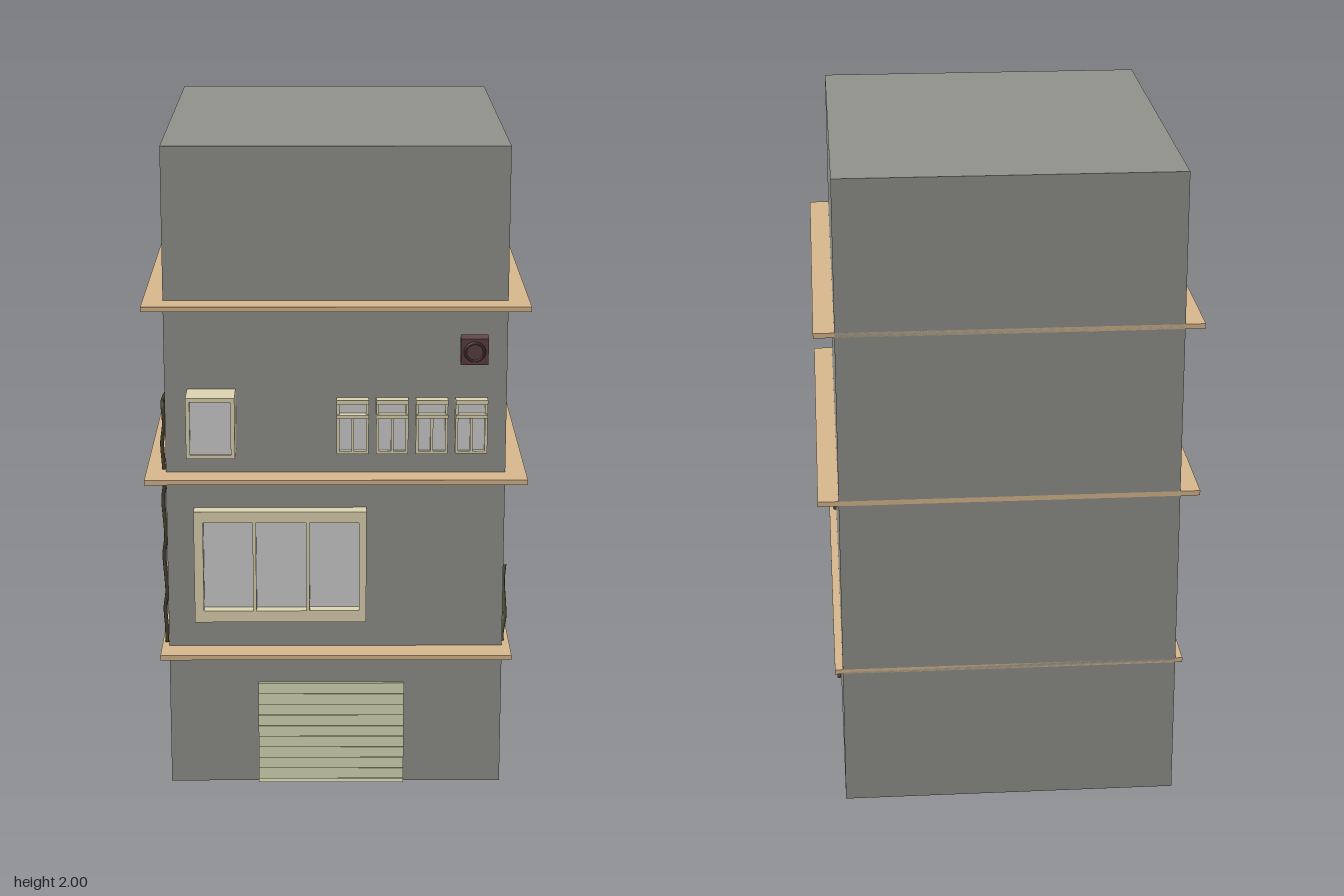
import * as THREE from 'three';

const mat = (color) => new THREE.MeshStandardMaterial({ color });
const wallMat = mat(0x8f908a), ledgeMat = mat(0xd6b68c), frameMat = mat(0xdcd3af);
const glassMat = mat(0xcccccc), slatMat = mat(0xc9cdaa), fanMat = mat(0x634548);
const darkMat = mat(0x3c2a2c), greenPipeMat = mat(0x55583f), brownPipeMat = mat(0x48402f);

const FRONT = 0.585, BACK = -0.69;

// Box given by its limits on each axis
function box(parent, name, material, [x0, x1], [y0, y1], [z0, z1]) {
  const m = new THREE.Mesh(new THREE.BoxGeometry(x1 - x0, y1 - y0, z1 - z0), material);
  m.position.set((x0 + x1) / 2, (y0 + y1) / 2, (z0 + z1) / 2);
  m.name = name;
  parent.add(m);
  return m;
}

// Rectangular frame with rectangular openings, extruded along z
function frame(parent, name, [x0, x1], [y0, y1], [z0, z1], openings) {
  const rect = (P, a, b, c, d) => {
    const p = new P();
    p.moveTo(a, c);
    p.lineTo(b, c);
    p.lineTo(b, d);
    p.lineTo(a, d);
    p.closePath();
    return p;
  };
  const shape = rect(THREE.Shape, x0, x1, y0, y1);
  openings.forEach(([a, b, c, d]) => shape.holes.push(rect(THREE.Path, a, b, c, d)));
  const geo = new THREE.ExtrudeGeometry(shape, { depth: z1 - z0, bevelEnabled: false });
  const m = new THREE.Mesh(geo, frameMat);
  m.position.z = z0;
  m.name = name;
  parent.add(m);
}

// Slightly crooked pipe along a wall: corners are [z, y], joined by straight runs
function pipe(parent, name, material, x, corners) {
  const points = [];
  corners.forEach(([z, y], i) => {
    if (i === 0) return points.push(new THREE.Vector3(x, y, z));
    const [pz, py] = corners[i - 1];
    const steps = Math.max(2, Math.round(Math.hypot(z - pz, y - py) / 0.06));
    const upright = Math.abs(y - py) > Math.abs(z - pz);
    for (let s = 1; s <= steps; s++) {
      const t = s / steps;
      const w = s === steps ? 0 : 0.004 * Math.sin(s * 2.1 + i);
      points.push(new THREE.Vector3(x + w, py + (y - py) * t, pz + (z - pz) * t + (upright ? w : 0)));
    }
  });
  const path = new THREE.CatmullRomCurve3(points, false, 'centripetal');
  const m = new THREE.Mesh(new THREE.TubeGeometry(path, points.length * 4, 0.006, 8), material);
  m.name = name;
  parent.add(m);
}

export function createModel() {
  const model = new THREE.Group();
  model.name = 'building';
  box(model, 'walls', wallMat, [-0.513, 0.511], [0, 2], [BACK, FRONT]);

  // Ledges around front and sides, flush with the back
  [[0.436, 0.535], [0.995, 0.573], [1.525, 0.573]].forEach(([y, w], i) =>
    box(model, `ledge${i + 1}`, ledgeMat, [-w, w], [y, y + 0.015], [BACK, 0.67]));

  // Roller shutter with sloped slats
  const shutter = new THREE.Group();
  shutter.name = 'shutter';
  const pitch = 0.0355;
  for (let i = 0; i < 10; i++) {
    const y = i * pitch - (i ? 0.0225 : 0);
    const top = (i + 1) * pitch - 0.0255;
    const slat = new THREE.Shape();
    slat.moveTo(0.583, y);
    slat.lineTo(0.6, y);
    slat.lineTo(0.595, top);
    slat.lineTo(0.583, top);
    const geo = new THREE.ExtrudeGeometry(slat, { depth: 0.45, bevelEnabled: false });
    geo.rotateY(-Math.PI / 2);
    const m = new THREE.Mesh(geo, slatMat);
    m.position.x = 0.21;
    m.name = 'slat';
    shutter.add(m);
  }
  model.add(shutter);

  // Wide window with three panes
  const wide = new THREE.Group();
  wide.name = 'wideWindow';
  const panes = [[-0.402, -0.252], [-0.242, -0.09], [-0.08, 0.07]];
  frame(wide, 'wideFrame', [-0.43, 0.092], [0.545, 0.898], [FRONT, 0.632],
    panes.map(([a, b]) => [a, b, 0.582, 0.864]));
  panes.forEach(([a, b]) => box(wide, 'pane', glassMat, [a, b], [0.582, 0.864], [FRONT, 0.597]));
  model.add(wide);

  // Projecting bay window
  const bay = new THREE.Group();
  bay.name = 'bayWindow';
  box(bay, 'bayBox', frameMat, [-0.445, -0.3], [1.083, 1.27], [FRONT, 0.68]);
  frame(bay, 'bayFrame', [-0.445, -0.3], [1.083, 1.27], [0.68, 0.693], [[-0.433, -0.312, 1.095, 1.258]]);
  box(bay, 'pane', glassMat, [-0.433, -0.312], [1.095, 1.258], [0.678, 0.684]);
  model.add(bay);

  // Row of four small windows, each with a top light and two lower panes
  for (let i = 0; i < 4; i++) {
    const win = new THREE.Group();
    win.name = `smallWindow${i + 1}`;
    const x = 0.002 + i * 0.1185;
    const lights = [[0.008, 0.044, 1.083, 1.187], [0.052, 0.088, 1.083, 1.187], [0.008, 0.088, 1.198, 1.23]];
    frame(win, 'smallFrame', [0, 0.096], [1.075, 1.243], [FRONT, 0.612], lights);
    lights.forEach(([a, b, c, d]) => box(win, 'pane', glassMat, [a, b], [c, d], [FRONT, 0.597]));
    box(win, 'transom', frameMat, [0, 0.096], [1.187, 1.198], [FRONT, 0.622]);
    box(win, 'lintel', frameMat, [0, 0.096], [1.23, 1.243], [FRONT, 0.622]);
    win.position.x = x;
    model.add(win);
  }

  // Tilted horn box with a round mouth
  const horn = new THREE.Group();
  horn.name = 'hornBox';
  box(horn, 'hornCase', fanMat, [-0.041, 0.041], [-0.042, 0.042], [-0.018, 0.015]);
  const ring = new THREE.Mesh(new THREE.TorusGeometry(0.028, 0.005, 8, 24), darkMat);
  ring.position.z = 0.015;
  ring.name = 'hornRing';
  const cone = new THREE.Mesh(new THREE.CylinderGeometry(0.022, 0.026, 0.004, 24), fanMat);
  cone.rotation.x = -Math.PI / 2;
  cone.position.z = 0.016;
  cone.name = 'hornCone';
  horn.add(ring, cone);
  horn.position.set(0.41, 1.4, 0.628);
  horn.rotation.x = 0.17;
  model.add(horn);
  box(model, 'hornBracket', darkMat, [0.4, 0.42], [1.39, 1.41], [FRONT, 0.615]);

  // Pipes on both side walls
  pipe(model, 'leftPipe', greenPipeMat, 0.518, [[0.125, 0], [0.125, 0.415], [0.54, 0.415], [0.54, 0.7]]);
  pipe(model, 'rightPipe', brownPipeMat, -0.522, [[0.55, 0.44], [0.55, 1.21], [0.13, 1.21], [0.13, 1.5]]);
  return model;
}
